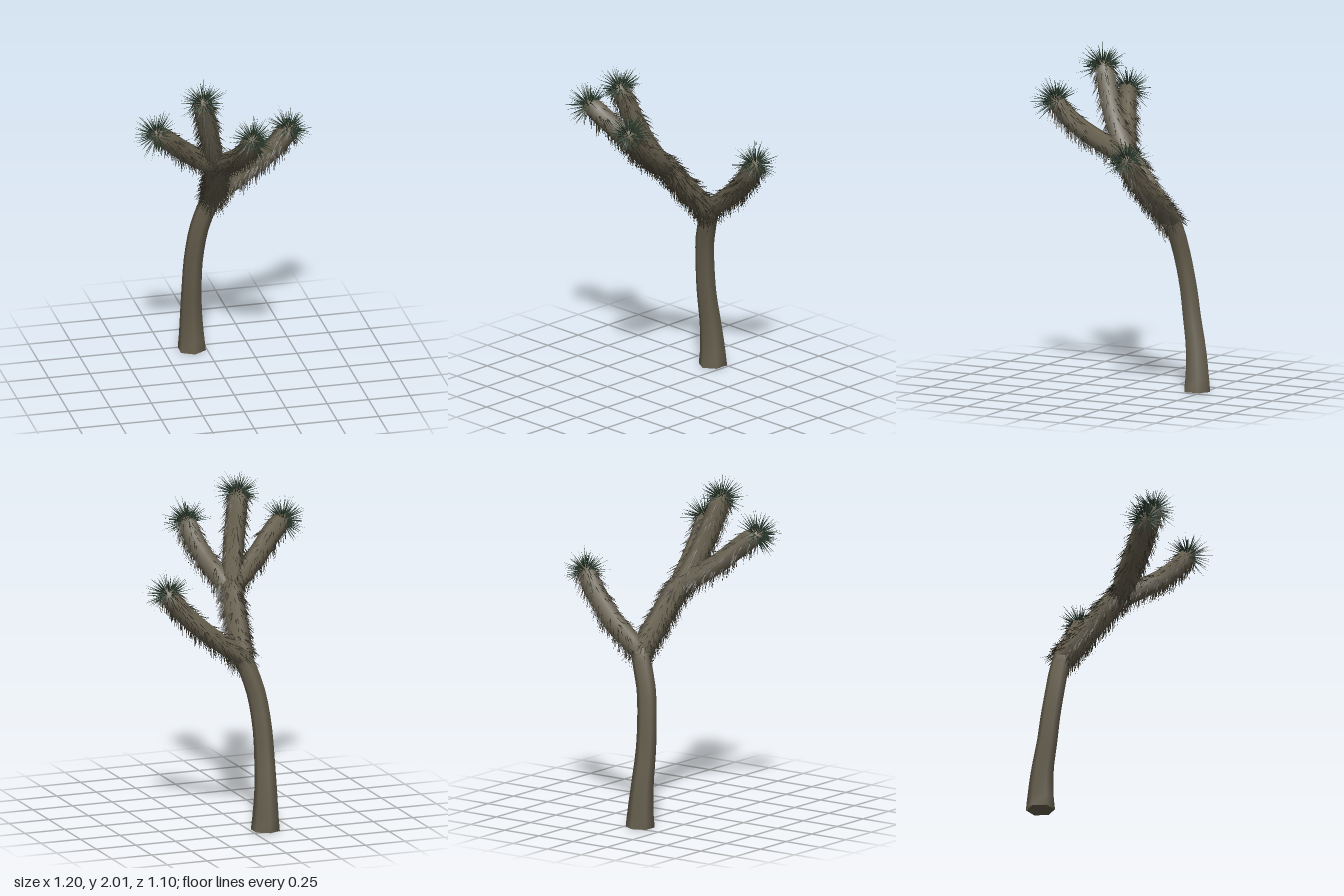
import * as THREE from 'three';

const V = (x, y, z) => new THREE.Vector3(x, y, z);

// small seeded random generator
let seed = 7;
const rand = () => {
  seed = (seed * 1664525 + 1013904223) % 4294967296;
  return seed / 4294967296;
};

const bark = new THREE.MeshStandardMaterial({ color: 0x665f4e });
bark.name = 'bark';
const deadLeaf = new THREE.MeshStandardMaterial({ color: 0x302d23 });
deadLeaf.name = 'dead leaf';
const greenLeaf = new THREE.MeshStandardMaterial({ color: 0x2a3a2d });
greenLeaf.name = 'green leaf';

// frame across a path: n leans to +z, b completes it
function frame(curve, u) {
  const p = curve.getPointAt(u), t = curve.getTangentAt(u);
  const n = V(0, 0, 1).addScaledVector(t, -t.z).normalize();
  return { p, t, n, b: t.clone().cross(n) };
}

// six-sided limb; stops are [position along path, radius]
function limb(curve, stops) {
  const sides = 6, pos = [], index = [];
  stops.forEach(([u, r], i) => {
    const { p, n, b } = frame(curve, u);
    for (let j = 0; j < sides; j++) {
      const a = (j / sides) * Math.PI * 2;
      const v = p.clone().addScaledVector(n, r * Math.cos(a)).addScaledVector(b, r * Math.sin(a));
      pos.push(v.x, v.y, v.z);
      if (i === 0) continue;
      const k = (j + 1) % sides, lo = (i - 1) * sides, hi = i * sides;
      index.push(lo + j, lo + k, hi + k, lo + j, hi + k, hi + j);
    }
  });
  const g = new THREE.BufferGeometry();
  g.setAttribute('position', new THREE.Float32BufferAttribute(pos, 3));
  g.setIndex(index);
  g.computeVertexNormals();
  return g;
}

// one thin three-sided spine
function spine(out, base, dir, length, width) {
  const side = Math.abs(dir.y) < 0.9 ? V(0, 1, 0) : V(1, 0, 0);
  const u = side.cross(dir).normalize(), v = dir.clone().cross(u);
  const tip = base.clone().addScaledVector(dir, length);
  const ring = [0, 1, 2].map((k) => {
    const a = (k * Math.PI * 2) / 3;
    return base.clone().addScaledVector(u, width * Math.cos(a)).addScaledVector(v, width * Math.sin(a));
  });
  for (let k = 0; k < 3; k++)
    for (const q of [ring[k], ring[(k + 1) % 3], tip]) out.push(q.x, q.y, q.z);
}

function spineMesh(name, pos, material) {
  const g = new THREE.BufferGeometry();
  g.setAttribute('position', new THREE.Float32BufferAttribute(pos, 3));
  g.computeVertexNormals();
  const m = new THREE.Mesh(g, material);
  m.name = name;
  return m;
}

// drooping dead leaves, thicker on the underside
function shag(curve, radius, count) {
  const pos = [];
  for (let i = 0; i < count; i++) {
    const { p, t, n, b } = frame(curve, rand() * 0.95);
    const a = rand() * Math.PI * 2;
    const out = n.multiplyScalar(Math.cos(a)).addScaledVector(b, Math.sin(a));
    if (rand() > 0.6 - 0.6 * out.y) continue;
    const dir = out.clone().multiplyScalar(0.45 + rand() * 0.35).addScaledVector(t, -0.6);
    dir.y -= 0.35;
    dir.normalize();
    spine(pos, p.addScaledVector(out, radius * 0.92), dir, 0.04 + rand() * 0.04, 0.003);
  }
  return pos;
}

// rosette of living leaves around a branch end
function rosette(curve, count) {
  const pos = [], t = curve.getTangentAt(1);
  const centre = curve.getPointAt(1).addScaledVector(t, -0.045);
  for (let i = 0; i < count; i++) {
    const y = 1 - (2 * (i + 0.5)) / count, a = i * 2.39996 + rand() * 0.5;
    const s = Math.sqrt(1 - y * y);
    const dir = V(s * Math.cos(a), y, s * Math.sin(a));
    if (dir.dot(t) < -0.35) continue;
    spine(pos, centre.clone().addScaledVector(dir, 0.035), dir, 0.06 + rand() * 0.07, 0.004);
  }
  return pos;
}

export function createModel() {
  seed = 7;
  const tree = new THREE.Group();
  tree.name = 'desertTree';

  // bare trunk with flared foot
  const trunkPath = new THREE.CatmullRomCurve3([
    V(-0.085, 0, -0.457), V(-0.087, 0.1, -0.456), V(-0.092, 0.25, -0.445), V(-0.095, 0.45, -0.415),
    V(-0.09, 0.6, -0.398), V(-0.065, 0.8, -0.37), V(-0.03, 0.92, -0.355), V(0.01, 1.03, -0.335),
  ]);
  const trunkStops = [];
  for (let i = 0; i <= 14; i++) {
    const u = i / 14;
    trunkStops.push([u, 0.057 + 0.029 * Math.pow(1 - u, 4)]);
  }
  const trunk = new THREE.Mesh(limb(trunkPath, trunkStops), bark);
  trunk.name = 'trunk';
  const foot = new THREE.Mesh(new THREE.CircleGeometry(0.085, 6, Math.PI / 2).rotateX(Math.PI / 2), bark);
  foot.name = 'trunkFoot';
  foot.position.set(-0.085, 0.001, -0.457);
  tree.add(trunk, foot);

  // branches: name, path, radius, leaf count, has rosette
  const branches = [
    ['mainBranch', [V(0.01, 0.99, -0.355), V(-0.005, 1.12, -0.235), V(-0.025, 1.26, -0.11), V(-0.045, 1.41, 0.01)], 0.07, 1000, false],
    ['leftBranch', [V(0.0, 1.02, -0.345), V(0.1, 1.09, -0.335), V(0.22, 1.18, -0.325), V(0.37, 1.32, -0.29), V(0.44, 1.41, -0.275), V(0.475, 1.47, -0.265)], 0.062, 650, true],
    ['rightBranch', [V(-0.03, 1.36, -0.02), V(-0.13, 1.42, 0.035), V(-0.27, 1.53, 0.105), V(-0.41, 1.66, 0.18), V(-0.49, 1.71, 0.205)], 0.06, 450, true],
    ['topBranch', [V(-0.04, 1.34, -0.03), V(-0.085, 1.48, 0.06), V(-0.125, 1.64, 0.135), V(-0.165, 1.8, 0.19), V(-0.185, 1.91, 0.23)], 0.062, 550, true],
    ['frontBranch', [V(-0.03, 1.35, -0.02), V(0.0, 1.43, 0.09), V(0.035, 1.51, 0.22), V(0.06, 1.6, 0.33), V(0.08, 1.72, 0.42)], 0.06, 600, true],
  ];
  for (const [name, points, r, count, tipped] of branches) {
    const path = new THREE.CatmullRomCurve3(points);
    const stops = [[0, r * 0.8]];
    for (let i = 1; i <= 8; i++) stops.push([i * 0.105, r * (i === 1 ? 0.95 : 1)]);
    stops.push([0.91, r * 0.92], [0.96, r * 0.65], [0.99, r * 0.35], [1, 0]);
    const g = new THREE.Group();
    g.name = name;
    const body = new THREE.Mesh(limb(path, stops), bark);
    body.name = name + 'Bark';
    g.add(body, spineMesh(name + 'DeadLeaves', shag(path, r, count), deadLeaf));
    if (tipped) g.add(spineMesh(name + 'Rosette', rosette(path, 170), greenLeaf));
    tree.add(g);
  }
  return tree;
}
